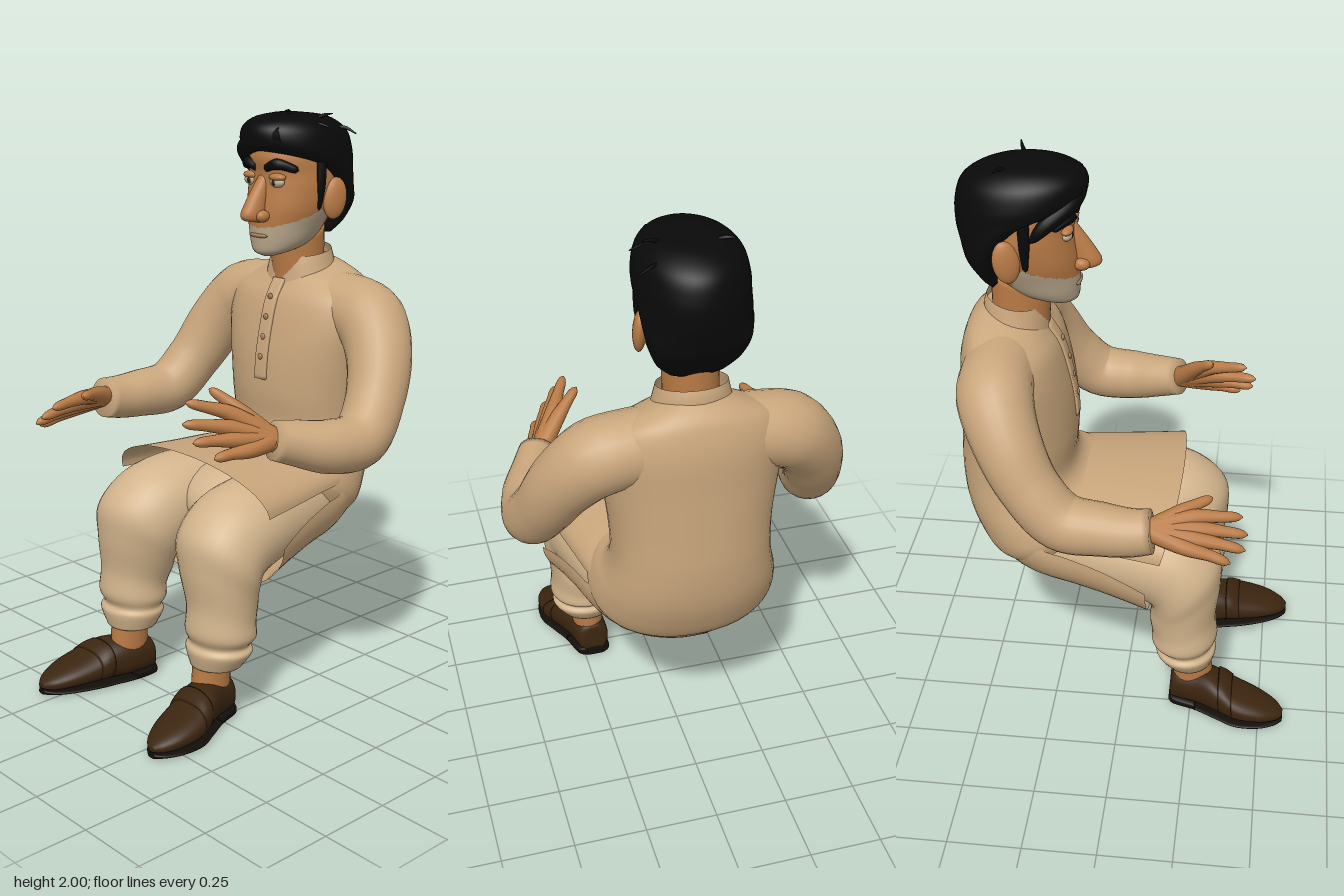
import * as THREE from 'three';

const mat = (name, color, side = THREE.FrontSide) => {
  const m = new THREE.MeshStandardMaterial({ color, side });
  m.name = name;
  return m;
};
const kurta = mat('tan cloth', 0xc9a67c, THREE.DoubleSide);
const trouserCloth = mat('pale trouser cloth', 0xd2b48c);
const skin = mat('skin', 0xb87a45);
const hairBlack = mat('black hair', 0x090909);
const beardGrey = mat('grey stubble', 0xb9a78c);
const shoeBrown = mat('brown leather', 0x3b250f);
const soleBlack = mat('black sole', 0x120e0a);
const eyeWhite = mat('eye white', 0xc2b598);
const irisBrown = mat('dark iris', 0x2c2015);
const trim = mat('button and lip brown', 0xa37c58);

// Catmull-Rom interpolation of rows of numbers
function smooth(keys, n) {
  const last = keys.length - 1, at = i => keys[Math.min(last, Math.max(0, i))];
  return Array.from({ length: n + 1 }, (_, i) => {
    const t = i / n * last, j = Math.min(last - 1, Math.floor(t)), u = t - j;
    const [p, q, r, s] = [at(j - 1), at(j), at(j + 1), at(j + 2)];
    return q.map((b, k) => {
      const a = p[k], c = r[k], d = s[k];
      return 0.5 * (2 * b + (c - a) * u + (2 * a - 5 * b + 4 * c - d) * u * u + (3 * b - a - 3 * c + d) * u ** 3);
    });
  });
}

// Skin a grid of points; optional wrap, end caps and a second face group
function surface(rows, { closed = true, cap = true, pick = null } = {}) {
  const m = rows[0].length, pos = [], lists = [[], []];
  rows.forEach(r => r.forEach(p => pos.push(p.x, p.y, p.z)));
  const tri = (a, b, c) => {
    const mid = k => (pos[a * 3 + k] + pos[b * 3 + k] + pos[c * 3 + k]) / 3;
    lists[pick && pick(mid(0), mid(1), mid(2)) ? 1 : 0].push(a, b, c);
  };
  const cols = closed ? m : m - 1;
  for (let i = 0; i < rows.length - 1; i++) for (let j = 0; j < cols; j++) {
    const k = (j + 1) % m, a = i * m + j, b = i * m + k;
    tri(a, b, b + m);
    tri(a, b + m, a + m);
  }
  if (closed && cap) [0, rows.length - 1].forEach((r, end) => {
    const c = new THREE.Vector3();
    rows[r].forEach(p => c.addScaledVector(p, 1 / m));
    const id = pos.length / 3;
    pos.push(c.x, c.y, c.z);
    for (let j = 0; j < m; j++) {
      const a = r * m + j, b = r * m + (j + 1) % m;
      end ? tri(a, b, id) : tri(b, a, id);
    }
  });
  const g = new THREE.BufferGeometry();
  g.setAttribute('position', new THREE.Float32BufferAttribute(pos, 3));
  g.setIndex([...lists[0], ...lists[1]]);
  if (pick) {
    g.addGroup(0, lists[0].length, 0);
    g.addGroup(lists[0].length, lists[1].length, 1);
  }
  g.computeVertexNormals();
  return g;
}

// Loft from side profiles: each key is [yBack, zBack, yFront, zFront, halfWidth, centreX]
function profile(keys, { n = 32, m = 32, e = 1, s = 1, from = 0, to = 2 * Math.PI, ...opt } = {}) {
  const pw = v => Math.sign(v) * Math.abs(v) ** e;
  const full = opt.closed !== false;
  const rows = smooth(keys, n).map(([y0, z0, y1, z1, a, x = 0]) => Array.from({ length: m }, (_, j) => {
    const t = from + (to - from) * j / (full ? m : m - 1), v = (pw(Math.sin(t)) + 1) / 2;
    return new THREE.Vector3(x * s + a * pw(Math.cos(t)), y0 + (y1 - y0) * v, z0 + (z1 - z0) * v);
  }));
  return surface(rows, opt);
}

// Tapered tube through [x, y, z, radius] keys
function limb(keys, { n = 24, m = 18, round = false } = {}) {
  const curve = new THREE.CatmullRomCurve3(keys.map(k => new THREE.Vector3(k[0], k[1], k[2])));
  const f = curve.computeFrenetFrames(n, false);
  const rows = Array.from({ length: n + 1 }, (_, i) => {
    const u = i / n, t = curve.getUtoTmapping(u) * (keys.length - 1);
    const j = Math.min(keys.length - 2, Math.floor(t));
    let r = THREE.MathUtils.lerp(keys[j][3], keys[j + 1][3], t - j);
    if (round && u > 0.88) r *= Math.sqrt(Math.max(0.02, 1 - ((u - 0.88) / 0.12) ** 2));
    const c = curve.getPointAt(u);
    return Array.from({ length: m }, (_, k) => {
      const a = k / m * 2 * Math.PI;
      return c.clone().addScaledVector(f.normals[i], r * Math.cos(a)).addScaledVector(f.binormals[i], r * Math.sin(a));
    });
  });
  return surface(rows);
}

export function createModel() {
  const root = new THREE.Group();
  root.name = 'seatedMan';
  const add = (name, geo, material) => {
    const mesh = new THREE.Mesh(geo, material);
    mesh.name = name;
    root.add(mesh);
    return mesh;
  };
  const blob = (name, material, p, r) => {
    const b = add(name, new THREE.SphereGeometry(1, 20, 14), material);
    b.position.set(...p);
    b.scale.set(...r);
    return b;
  };

  // Tunic body, from the neck down to the seat
  add('tunicBody', profile([
    [1.505, -.475, 1.45, -.29, .11], [1.475, -.515, 1.41, -.265, .2], [1.43, -.543, 1.36, -.235, .28],
    [1.34, -.565, 1.27, -.21, .305], [1.2, -.572, 1.16, -.19, .288], [1.05, -.58, 1.03, -.183, .27],
    [.92, -.585, .92, -.19, .266], [.80, -.575, .87, -.16, .284], [.70, -.545, .855, -.10, .308],
    [.60, -.49, .83, -.06, .322], [.55, -.40, .79, -.08, .30]], { n: 50, m: 44, e: .9 }), kurta);

  // Back panel: the lower half of the body carried on under the seat to its hem
  add('tunicBackPanel', profile([[.70, -.542, .855, -.10, .305], [.60, -.488, .83, -.05, .322], [.50, -.37, .90, .01, .342],
    [.465, -.2, .885, .06, .365], [.43, -.04, .86, .08, .385], [.40, .095, .84, .095, .408]],
  { n: 30, m: 33, closed: false, from: Math.PI, to: 2 * Math.PI }), kurta);

  // Front panel arched over the lap: [z, halfWidth, edgeY, middleY, bow]
  add('tunicFrontPanel', surface(smooth([[-.4, .295, .75, .85, 0], [-.2, .328, .745, .865, 0],
    [0, .36, .735, .872, .02], [.14, .385, .73, .88, .05]], 20).map(([z, a, y0, y1, bow]) =>
    Array.from({ length: 37 }, (_, j) => {
      const t = j / 36 * Math.PI, c = Math.cos(t), s = Math.sin(t);
      return new THREE.Vector3(a * c, y0 + (y1 - y0) * s ** .9, z + bow * s);
    })), { closed: false }), kurta);

  // Stand collar, open at the throat, with placket and buttons
  add('collar', profile([[1.54, -.475, 1.505, -.285, .115], [1.51, -.485, 1.47, -.275, .122], [1.46, -.49, 1.42, -.268, .135]],
    { n: 6, m: 40, closed: false, from: Math.PI / 2 + .16, to: Math.PI * 2.5 - .16 }), kurta);
  add('placket', profile([[1.43, -.295, 1.43, -.266, .028], [1.36, -.25, 1.36, -.226, .028], [1.27, -.22, 1.27, -.201, .028],
    [1.16, -.2, 1.16, -.181, .028], [1.08, -.2, 1.08, -.176, .028]], { n: 16, m: 20, e: .4 }), kurta);
  [[1.37, -.228], [1.3, -.207], [1.23, -.193], [1.16, -.181]].forEach(([y, z]) =>
    blob('button', trim, [0, y, z], [.011, .011, .006]));

  // Sleeves, rising out of the shoulders
  const upperArm = s => [[s * .06, 1.35, -.405, .11], [s * .19, 1.335, -.41, .122], [s * .31, 1.308, -.402, .126],
    [s * .40, 1.21, -.355, .113], [s * .457, 1.07, -.275, .1], [s * .485, .965, -.17, .097]];
  add('leftSleeve', limb([...upperArm(1), [.468, .962, -.04, .09], [.43, .985, .06, .077], [.40, 1.005, .14, .066]], { n: 48, m: 24 }), kurta);
  add('rightSleeve', limb([...upperArm(-1), [-.5, .955, -.04, .088], [-.508, .955, .05, .08], [-.508, .965, .125, .073]], { n: 48, m: 24 }), kurta);

  // Hands: every finger runs from the wrist through its knuckle to the tip, knuckles spread to form the palm
  const hand = (name, w, tips) => tips.forEach((tip, i) => {
    const thumb = i === 4;
    const at = (f, lift, r, spread = 0) => [...w.map((v, k) => v + (tip[k] - v) * f
      + (thumb ? 0 : spread * (tip[k] - (tips[1][k] + tips[2][k]) / 2)) + (k === 1 ? lift : 0)), r];
    add(name + (thumb ? 'Thumb' : 'Finger'), limb([at(-.12, 0, .036), at(.2, .004, .032, .12), at(.5, .008, .026, .18),
      at(.75, .006, .019, .08), at(1, 0, .016)], { n: 26, m: 12, round: true }), skin);
  });
  hand('left', [.39, 1.01, .14], [[.25, 1.145, .385], [.275, 1.085, .42], [.315, 1.03, .41], [.365, .98, .365], [.228, 1.165, .265]]);
  hand('right', [-.505, .97, .12], [[-.432, .99, .41], [-.472, .95, .43], [-.515, .92, .425], [-.555, .895, .38], [-.385, 1.025, .31]]);

  // Trousers, ankles and shoes
  blob('trouserSeat', trouserCloth, [0, .67, -.09], [.22, .135, .23]);
  const leg = [[.54, -.36, .80, -.36, .12, .15], [.51, -.15, .81, -.15, .155, .17], [.50, 0, .81, .06, .168, .195],
    [.47, .09, .77, .22, .172, .205], [.43, .1, .67, .33, .167, .215], [.39, .095, .55, .343, .145, .222],
    [.34, .105, .42, .33, .126, .234], [.30, .105, .33, .338, .128, .236], [.275, .13, .285, .322, .113, .232],
    [.25, .12, .258, .335, .122, .234], [.20, .15, .20, .322, .093, .228]];
  const shoe = [[.014, .17, .12, .175, .04, .212], [.012, .19, .14, .19, .06, .215], [.012, .27, .15, .26, .072, .228],
    [.012, .35, .15, .33, .084, .256], [.012, .42, .115, .41, .092, .28], [.012, .5, .085, .5, .077, .294],
    [.014, .56, .06, .56, .047, .3], [.022, .588, .04, .588, .015, .304]];
  const strap = [[.014, .36, .15, .35, .089, .26], [.014, .38, .141, .375, .093, .267], [.014, .41, .124, .4, .094, .276]];
  for (const s of [1, -1]) {
    add('trouserLeg', profile(leg, { n: 60, m: 32, s }), trouserCloth);
    add('ankle', profile([[.25, .185, .25, .315, .06, .222], [.1, .18, .1, .33, .058, .222]], { n: 4, m: 20, s }), skin);
    add('shoe', profile(shoe, { n: 40, e: .85, s }), shoeBrown);
    add('shoeStrap', profile(strap, { n: 8, e: .85, s }), shoeBrown);
    add('sole', profile(shoe.map(k => [0, k[1], .016, k[1], k[4] + .001, k[5]]), { n: 40, e: .7, s }), soleBlack);
    add('heel', profile(shoe.slice(0, 3).map(k => [0, k[1], .036, k[1], k[4] + .004, k[5]]), { n: 12, e: .6, s }), soleBlack);
  }

  // Head with stubble on the jaw
  add('neck', profile([[1.62, -.46, 1.57, -.26, .09], [1.42, -.46, 1.40, -.272, .088]], { n: 6 }), skin);
  add('head', profile([
    [1.96, -.40, 1.96, -.28, .06], [1.92, -.5, 1.92, -.2, .12], [1.86, -.525, 1.86, -.17, .146],
    [1.80, -.525, 1.80, -.178, .154], [1.75, -.51, 1.75, -.175, .155], [1.68, -.48, 1.68, -.165, .144],
    [1.62, -.45, 1.62, -.163, .122], [1.57, -.40, 1.565, -.165, .1], [1.545, -.34, 1.53, -.172, .073],
    [1.535, -.28, 1.515, -.2, .04]],
  { n: 80, m: 72, pick: (x, y, z) => z > -.37 && y < 1.62 + .35 * (-.17 - z) }), [skin, beardGrey]);
  add('nose', profile([[1.80, -.22, 1.80, -.182, .02], [1.75, -.21, 1.755, -.148, .027], [1.70, -.2, 1.70, -.11, .032],
    [1.665, -.2, 1.665, -.092, .035], [1.645, -.2, 1.645, -.105, .031], [1.635, -.19, 1.637, -.15, .02]], { n: 24, m: 24 }), skin);
  const lips = blob('mouth', trim, [0, 1.59, -.168], [.044, .008, .01]);
  lips.rotation.x = .1;

  for (const s of [1, -1]) {
    blob('nostril', skin, [s * .034, 1.66, -.155], [.021, .021, .028]);
    const ear = blob('ear', skin, [s * .162, 1.715, -.375], [.022, .072, .044]);
    ear.rotation.set(-.15, s * -.35, 0);
    blob('eye', eyeWhite, [s * .062, 1.775, -.195], [.032, .019, .018]);
    blob('iris', irisBrown, [s * .06, 1.774, -.181], [.01, .011, .006]);
    blob('eyelid', skin, [s * .063, 1.791, -.195], [.036, .014, .021]);
    add('eyebrow', limb([[s * .025, 1.82, -.18, .013], [s * .07, 1.836, -.185, .019], [s * .128, 1.815, -.232, .012]],
      { n: 16, m: 12, round: true }), hairBlack);
    add('sideburn', limb([[s * .148, 1.87, -.32, .02], [s * .148, 1.76, -.318, .018], [s * .137, 1.67, -.318, .01]],
      { n: 12, m: 12, round: true }), hairBlack);
  }

  // Hair cap, swept fringe and stray strands
  add('hair', profile([
    [2.0, -.36, 2.0, -.26, .05], [1.985, -.46, 1.985, -.18, .112], [1.94, -.535, 1.955, -.138, .157],
    [1.87, -.56, 1.91, -.135, .175], [1.80, -.562, 1.88, -.165, .177], [1.74, -.55, 1.845, -.27, .173],
    [1.68, -.53, 1.75, -.38, .163], [1.62, -.48, 1.66, -.42, .135], [1.58, -.45, 1.60, -.42, .09]], { n: 48, m: 44 }), hairBlack);
  add('fringe', limb([[.09, 1.935, -.19, .03], [0, 1.91, -.167, .032], [-.08, 1.885, -.185, .032], [-.135, 1.835, -.25, .026],
    [-.152, 1.78, -.3, .012]], { n: 26, m: 14, round: true }), hairBlack);
  [[.1, 1.96, -.3, .18, 1.955], [.08, 1.97, -.34, .15, 2.0], [.11, 1.95, -.42, .185, 1.93], [-.06, 1.98, -.38, -.12, 1.995]]
    .forEach(([x, y, z, tx, ty]) => add('strayHair', limb([[x, y, z, .008], [(x + tx) / 2, (y + ty) / 2 + .008, z - .02, .006],
      [tx, ty, z - .03, .002]], { n: 8, m: 6 }), hairBlack));
  return root;
}
